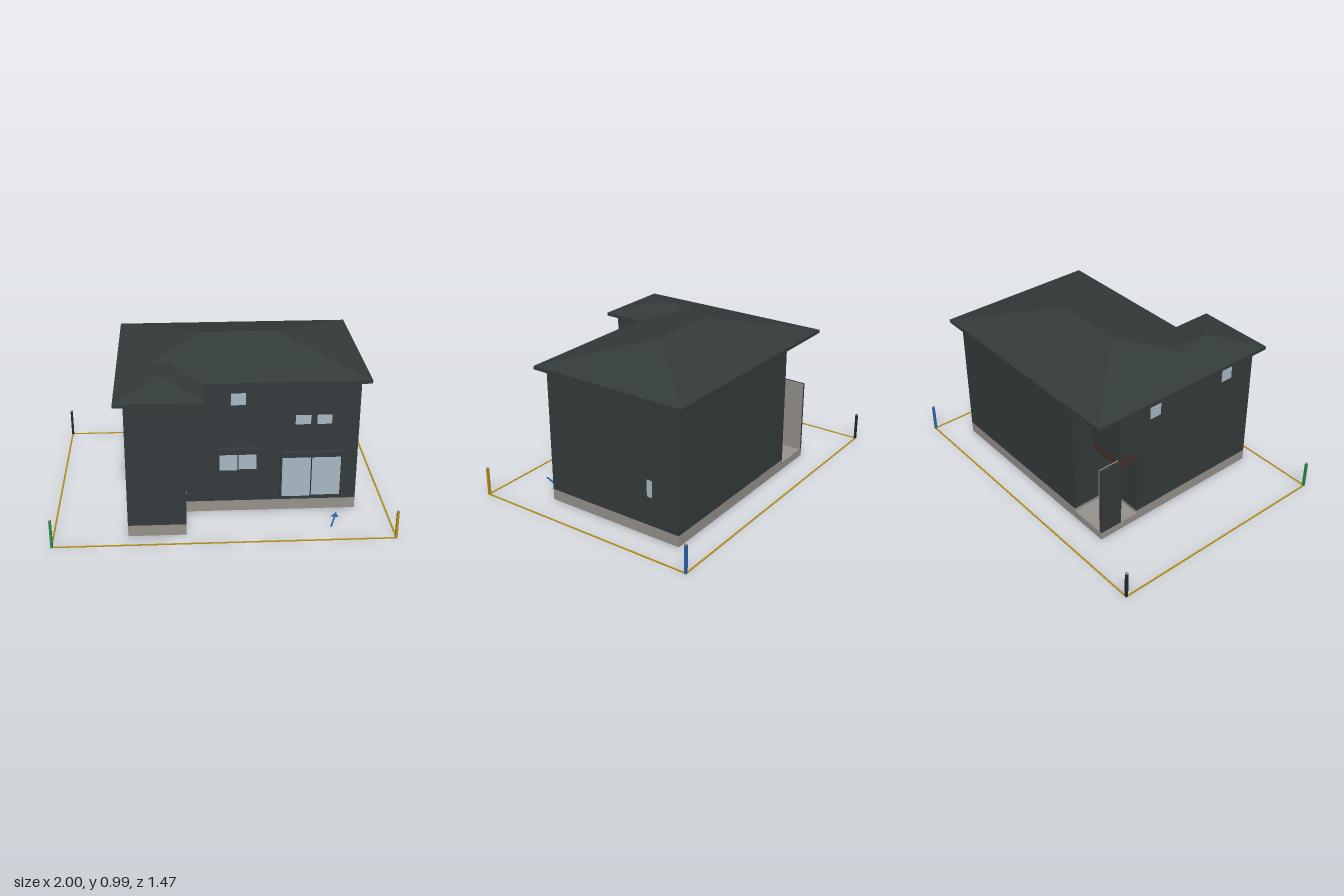
import * as THREE from 'three';

const mat = (name, color) => {
  const m = new THREE.MeshStandardMaterial({ color });
  m.name = name;
  return m;
};

export function createModel() {
  const model = new THREE.Group();
  model.name = 'house';
  const wall = mat('wall charcoal', 0x343b3c);
  const roof = mat('roof charcoal', 0x343b3b);
  const stone = mat('foundation grey', 0x96928c);
  const glass = mat('glass', 0xa8b9c3);
  const wood = mat('brown', 0x463027);
  const gold = mat('gold', 0xb48f18);
  const green = mat('green', 0x229048);
  const blue = mat('blue', 0x2b63b0);
  const black = mat('black', 0x24282a);

  const add = (name, geometry, material) => {
    const m = new THREE.Mesh(geometry, material);
    m.name = name;
    model.add(m);
    return m;
  };
  // Box given by its limits on each axis
  const box = (name, material, x0, x1, y0, y1, z0, z1) => {
    const m = add(name, new THREE.BoxGeometry(x1 - x0, y1 - y0, z1 - z0), material);
    m.position.set((x0 + x1) / 2, (y0 + y1) / 2, (z0 + z1) / 2);
    return m;
  };
  // Upright prism over a plan outline of [x, z] points; a hole runs the opposite way
  const prism = (name, material, plan, y0, y1, hole) => {
    const pts = (p) => p.map(([x, z]) => new THREE.Vector2(x, -z));
    const shape = new THREE.Shape(pts(plan));
    if (hole) shape.holes.push(new THREE.Path(pts(hole).reverse()));
    const g = new THREE.ExtrudeGeometry(shape, { depth: y1 - y0, bevelEnabled: false });
    g.rotateX(-Math.PI / 2);
    g.translate(0, y0, 0);
    return add(name, g, material);
  };

  // Foundation ring with the underside of the floor set in it
  const lowerPlan = [[-0.56, -0.28], [-0.31, -0.28], [-0.31, -0.55], [0.81, -0.55],
    [0.81, 0.37], [-0.22, 0.37], [-0.22, 0.63], [-0.56, 0.63]];
  const innerPlan = [[-0.525, -0.245], [-0.275, -0.245], [-0.275, -0.515], [0.775, -0.515],
    [0.775, 0.335], [-0.255, 0.335], [-0.255, 0.595], [-0.525, 0.595]];
  prism('foundation', stone, lowerPlan, 0, 0.07, innerPlan);
  prism('floorUnderside', wood, innerPlan, 0.058, 0.069);

  // Storeys: the upper one overhangs the porch and the front wing
  prism('lowerWalls', wall, lowerPlan, 0.07, 0.51);
  prism('upperWalls', wall, [[-0.56, -0.41], [-0.31, -0.41], [-0.31, -0.55], [0.81, -0.55],
    [0.81, 0.37], [-0.153, 0.37], [-0.153, 0.63], [-0.56, 0.63]], 0.51, 0.845);
  box('wingOverhangBand', wall, -0.22, -0.165, 0.445, 0.51, 0.37, 0.62);

  // Corner porch
  box('porchSlab', stone, -0.56, -0.31, 0, 0.05, -0.55, -0.28);
  box('porchSlabBase', stone, -0.53, -0.29, 0.003, 0.04, -0.3, -0.14);
  box('porchBeam', wood, -0.55, -0.31, 0.445, 0.51, -0.4, -0.28);
  box('porchScreenWall', wall, -0.56, -0.545, 0.05, 0.51, -0.55, -0.4);
  box('porchScreenLining', stone, -0.545, -0.538, 0.05, 0.51, -0.55, -0.4);
  box('porchEavesLining', wood, -0.56, -0.31, 0.839, 0.846, -0.55, -0.41);

  // Roof: eaves slab and two hip roofs
  prism('eaves', roof, [[-0.615, -0.605], [0.862, -0.605], [0.862, 0.42], [-0.107, 0.42],
    [-0.107, 0.68], [-0.615, 0.68]], 0.845, 0.865);
  const hip = (name, x0, x1, z0, z1, r0, r1, y0) => {
    const a = [x0, y0, z1], b = [x1, y0, z1], c = [x1, y0, z0], d = [x0, y0, z0];
    const faces = Math.abs(r1[0] - r0[0]) > 0.001
      ? [a, b, r1, a, r1, r0, b, c, r1, c, d, r0, c, r0, r1, d, a, r0]
      : [a, b, r1, b, c, r0, b, r0, r1, c, d, r0, d, a, r1, d, r1, r0];
    const g = new THREE.BufferGeometry();
    g.setAttribute('position', new THREE.Float32BufferAttribute(faces.flat(), 3));
    g.computeVertexNormals();
    return add(name, g, roof);
  };
  hip('mainRoof', -0.615, 0.862, -0.605, 0.42, [-0.105, 0.99, -0.09], [0.355, 0.99, -0.09], 0.865);
  hip('wingRoof', -0.615, -0.107, 0.06, 0.68, [-0.361, 0.928, 0.3], [-0.361, 0.928, 0.43], 0.865);

  // Front windows: [x0, x1, y0, y1]
  for (const [x0, x1, y0, y1] of [[0.05, 0.137, 0.705, 0.78], [0.432, 0.523, 0.573, 0.633], [0.56, 0.647, 0.573, 0.633]])
    box('smallWindow', glass, x0, x1, y0, y1, 0.366, 0.3715);
  // Sliding windows: frame, two panes and a shutter box above
  const slider = (x0, x1, y0, y1, top) => {
    const mid = (x0 + x1) / 2;
    box('windowFrame', wall, x0, x1, y0, y1, 0.37, 0.376);
    box('windowMullion', black, mid - 0.003, mid + 0.003, y0, y1, 0.376, 0.381);
    box('slidingPane', glass, x0 + 0.01, mid - 0.003, y0 + 0.01, y1 - 0.005, 0.375, 0.38);
    box('slidingPane', glass, mid + 0.003, x1 - 0.008, y0 + 0.015, y1 - 0.012, 0.375, 0.378);
    for (const x of [x0, x1 - 0.007]) box('shutterRail', wall, x, x + 0.007, y0, y1, 0.37, 0.383);
    box('shutterBox', wall, x0 - 0.003, x1 + 0.003, y1, top, 0.37, 0.405);
  };
  slider(-0.025, 0.213, 0.272, 0.398, 0.432);
  slider(0.35, 0.72, 0.085, 0.37, 0.4);

  // Side windows: [wall x, z0, z1, y0, y1]
  for (const [x, z0, z1, y0, y1] of [[0.81, -0.37, -0.335, 0.25, 0.355], [-0.22, 0.53, 0.597, 0.25, 0.355],
    [-0.56, -0.19, -0.11, 0.705, 0.785], [-0.56, 0.375, 0.455, 0.71, 0.795]])
    box('sideWindow', glass, x - 0.0015, x + 0.0015, y0, y1, z0, z1);

  // Plot boundary lines and corner posts
  const t = 0.01, h = 0.004;
  for (const z of [-0.735, 0.735 - t]) box('boundaryLine', gold, -1 + t, 1 - t, 0, h, z, z + t);
  for (const x of [-1, 1 - t]) box('boundaryLine', gold, x, x + t, 0, h, -0.735, 0.735);
  for (const [x, z, m] of [[-0.993, 0.728, green], [0.993, 0.728, gold], [0.993, -0.728, blue], [-0.993, -0.728, black]]) {
    box('cornerPost', m, x - 0.007, x + 0.007, 0, 0.174, z - 0.007, z + 0.007);
    box('postCap', stone, x - 0.007, x + 0.007, 0.174, 0.18, z - 0.007, z + 0.007);
  }

  // Flat arrow on the ground
  const from = new THREE.Vector2(0.635, 0.59), to = new THREE.Vector2(0.69, 0.43);
  const dir = to.clone().sub(from).normalize();
  const at = (s, w) => [from.x + dir.x * s - dir.y * w, from.y + dir.y * s + dir.x * w];
  const len = from.distanceTo(to);
  prism('groundArrow', blue, [at(0, -0.005), at(len - 0.05, -0.005), at(len - 0.05, -0.021), at(len, 0),
    at(len - 0.05, 0.021), at(len - 0.05, 0.005), at(0, 0.005)], 0, 0.004);

  return model;
}
